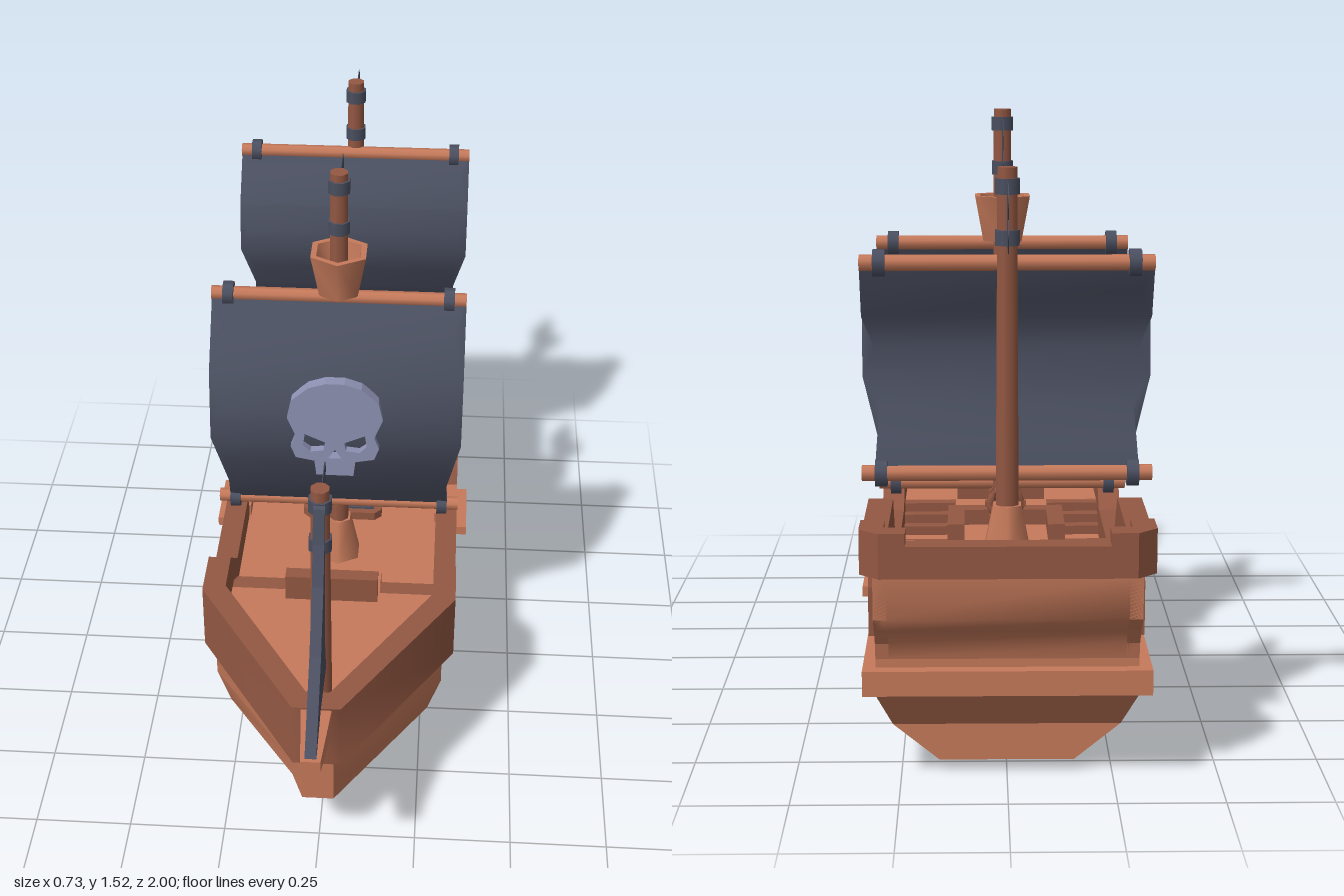
import * as THREE from 'three';
import { toCreasedNormals } from 'three/addons/utils/BufferGeometryUtils.js';

const material = (name, color) => {
  const m = new THREE.MeshStandardMaterial({ color });
  m.name = name;
  return m;
};

export function createModel() {
  const ship = new THREE.Group();
  ship.name = 'sailingShip';
  const light = material('light wood', 0xc67a5b);
  const dark = material('dark wood', 0x945843);
  const slate = material('slate cloth', 0x4b5061);
  const pale = material('pale lilac', 0x8f92b4);

  const add = (name, geo, mat) => {
    const m = new THREE.Mesh(geo, mat);
    m.name = name;
    ship.add(m);
  };
  const box = (name, mat, x0, x1, y0, y1, z0, z1) =>
    add(name, new THREE.BoxGeometry(x1 - x0, y1 - y0, z1 - z0)
      .translate((x0 + x1) / 2, (y0 + y1) / 2, (z0 + z1) / 2), mat);
  const vecs = pts => pts.map(p => new THREE.Vector2(...p));
  const extrude = (pts, depth, holes = []) => {
    const s = new THREE.Shape(vecs(pts));
    holes.forEach(h => s.holes.push(new THREE.Path(vecs(h))));
    return new THREE.ExtrudeGeometry(s, { depth, bevelEnabled: false });
  };
  // (z, y) outline swept across x
  const side = (pts, x0, x1, holes) =>
    extrude(pts, x1 - x0, holes).rotateY(-Math.PI / 2).translate(x1, 0, 0);
  // (x, z) outline swept up y
  const plan = (pts, y0, y1) =>
    extrude(pts, y1 - y0).rotateX(Math.PI / 2).translate(0, y1, 0);
  const mirrored = pts => [...pts, ...pts.map(([x, y]) => [-x, y]).reverse()];
  const bothSides = (name, pts, x0, x1, mat, holes) => {
    add('left' + name, side(pts, x0, x1, holes), mat);
    add('right' + name, side(pts, -x1, -x0, holes), mat);
  };
  const bothBoxes = (name, mat, x0, x1, ...rest) => {
    box('left' + name, mat, x0, x1, ...rest);
    box('right' + name, mat, -x1, -x0, ...rest);
  };
  const arch = (c, w, y0, y1) => {
    const pts = [[c - w, y0], [c + w, y0]];
    for (let i = 0; i <= 6; i++) {
      const a = i * Math.PI / 6;
      pts.push([c + w * Math.cos(a), y1 - w + w * Math.sin(a)]);
    }
    return pts;
  };

  // Lower hull: half-sections [x, y, z] from stern to bow
  const section = [[0.305, 0.32], [0.305, 0.22], [0.27, 0.12], [0.16, 0.03]];
  const loops = [
    section.map(([x, y], i) => [x, y, [-0.89, -0.89, -0.81, -0.81][i]]),
    section.map(([x, y]) => [x, y, 0.38]),
    [0.32, 0.26, 0.21, 0.17].map(y => [0.04, y, 0.79])
  ].map(h => [...h, ...h.map(([x, y, z]) => [-x, y, z]).reverse()]);
  const tris = [];
  const quad = (a, b, c, d) => tris.push(...a, ...c, ...b, ...a, ...d, ...c);
  for (let s = 0; s < 2; s++) {
    for (let i = 0; i < 8; i++) {
      const j = (i + 1) % 8;
      quad(loops[s][i], loops[s][j], loops[s + 1][j], loops[s + 1][i]);
    }
  }
  for (let i = 0; i < 3; i++) {
    const [a, b] = [loops[0], loops[2]];
    quad(a[i], a[7 - i], a[6 - i], a[i + 1]);
    quad(b[i], b[i + 1], b[6 - i], b[7 - i]);
  }
  const hull = new THREE.BufferGeometry();
  hull.setAttribute('position', new THREE.Float32BufferAttribute(tris, 3));
  add('hull', toCreasedNormals(hull, 0.65), light);

  // Midship band and boarding sills
  const band = mirrored([[0.335, 0.3], [0.335, 0.23], [0.28, 0.09], [0.18, 0]]);
  add('hullBand', extrude(band, 0.13).translate(0, 0, -0.335), dark);
  bothBoxes('BoardingSill', light, 0.27, 0.365, 0.295, 0.322, -0.37, -0.18);
  bothBoxes('BoardingStep', light, 0.27, 0.335, 0.32, 0.355, -0.345, -0.2);
  box('sternLedge', light, -0.335, 0.335, 0.23, 0.29, -0.92, -0.58);

  // Bulwarks
  bothSides('ForeBulwark', [[0.38, 0.32], [0.38, 0.505], [0.24, 0.505], [0.105, 0.397],
    [-0.18, 0.397], [-0.2, 0.355], [-0.2, 0.32]], 0.275, 0.335, dark);
  bothSides('AftBulwark', [[-0.345, 0.32], [-0.345, 0.355], [-0.36, 0.397], [-0.394, 0.397],
    [-0.555, 0.605], [-0.9, 0.605], [-0.9, 0.535], [-0.59, 0.535], [-0.437, 0.32]], 0.275, 0.335, dark);
  add('bowBulwark', toCreasedNormals(plan([[0.335, 0.38], [0.06, 0.82], [-0.06, 0.82], [-0.335, 0.38],
    [-0.275, 0.36], [-0.03, 0.76], [0.03, 0.76], [0.275, 0.36]], 0.32, 0.505), 1.1), dark);
  for (const s of [1, -1]) {
    add('sternCornerRail', plan([[0.335, -0.88], [0.335, -0.96], [0.29, -1], [0.23, -1],
      [0.23, -0.945], [0.28, -0.945], [0.28, -0.88]].map(([x, z]) => [x * s, z]), 0.535, 0.64), dark);
  }
  box('sternRail', dark, -0.23, 0.23, 0.535, 0.61, -1, -0.945);

  // Cabin, quarterdeck and foredeck
  const sternLine = [[-0.975, 0.537], [-0.97, 0.43], [-0.93, 0.39], [-0.9, 0.35], [-0.89, 0.31]];
  bothSides('CabinWall', [[-0.437, 0.31], [-0.59, 0.537], ...sternLine], 0.274, 0.305, light);
  add('cabin', toCreasedNormals(side([[-0.69, 0.31], [-0.69, 0.537], ...sternLine], -0.305, 0.305), 0.8), light);
  box('cabinFront', light, -0.13, 0.13, 0.31, 0.537, -0.7, -0.515);
  add('foredeck', plan([[0.28, 0.23], [0.28, 0.37], [0.03, 0.78], [-0.03, 0.78], [-0.28, 0.37],
    [-0.28, 0.23], [-0.13, 0.23], [-0.13, 0.12], [0.13, 0.12], [0.13, 0.23]], 0.31, 0.395), light);
  box('foredeckRail', dark, -0.125, 0.125, 0.39, 0.47, 0.23, 0.27);

  // Stairs on both sides of each raised deck
  for (let i = 0; i < 5; i++) {
    bothBoxes('AftStair', dark, 0.13, 0.276, 0.31, 0.36 + i * 0.042, -0.692, -0.48 - i * 0.042);
  }
  for (let i = 0; i < 3; i++) {
    bothBoxes('ForeStair', dark, 0.13, 0.276, 0.31, 0.345 + i * 0.024, 0.12 + i * 0.037, 0.232);
  }

  // Balcony rail and steering wheel
  box('balconyFrontRail', dark, -0.14, 0.14, 0.5, 0.575, -0.555, -0.51);
  bothBoxes('BalconyRail', dark, 0.1, 0.14, 0.5, 0.575, -0.69, -0.55);
  box('wheelPost', dark, -0.025, 0.025, 0.53, 0.61, -0.582, -0.555);
  add('wheelRim', new THREE.TorusGeometry(0.038, 0.011, 6, 8).translate(0, 0.6, -0.585), dark);
  for (let i = 0; i < 4; i++) {
    add('wheelSpoke', new THREE.BoxGeometry(0.1, 0.013, 0.016).rotateZ(i * Math.PI / 4)
      .translate(0, 0.6, -0.585), dark);
  }

  // Hatch, door and side windows
  const hatch = [[0.115, -0.415], [0.115, -0.22], [0.095, -0.2]];
  add('hatchFrame', plan([...mirrored(hatch), [-0.095, -0.435], [0.095, -0.435]], 0.31, 0.345), dark);
  box('hatchCover', slate, -0.092, 0.092, 0.34, 0.35, -0.412, -0.22);
  add('doorFrame', extrude(arch(0, 0.065, 0.32, 0.49), 0.02, [arch(0, 0.04, 0.33, 0.465)])
    .translate(0, 0, -0.515), dark);
  add('doorPane', extrude(arch(0, 0.045, 0.325, 0.47), 0.008).translate(0, 0, -0.514), slate);
  bothSides('WindowFrame', arch(-0.71, 0.06, 0.325, 0.505), 0.3, 0.327, dark, [arch(-0.71, 0.033, 0.355, 0.475)]);
  bothSides('WindowPane', arch(-0.71, 0.036, 0.35, 0.48), 0.304, 0.312, pale);

  // Bowsprit: a box tapered towards its tip
  const sprit = new THREE.BoxGeometry(0.08, 0.075, 0.2).translate(0, 0.4625, 0.9);
  const sp = sprit.attributes.position;
  for (let i = 0; i < sp.count; i++) {
    if (sp.getZ(i) > 0.9) {
      sp.setX(i, sp.getX(i) * 0.6);
      if (sp.getY(i) < 0.45) sp.setY(i, 0.468);
    }
  }
  sprit.computeVertexNormals();
  add('bowsprit', sprit, light);

  // Masts with rings and flags
  const rod = (r0, r1, length) =>
    new THREE.CylinderGeometry(r1, r0, length, 8, 1, false, Math.PI / 8);
  const post = (name, mat, r0, r1, y0, y1, z) =>
    add(name, rod(r0, r1, y1 - y0).translate(0, (y0 + y1) / 2, z), mat);
  const mast = (name, z, deck, top, flagTop) => {
    post(name, dark, 0.029, 0.024, deck, top, z);
    for (const y of [flagTop - 0.03, flagTop - 0.145]) {
      post(name + 'Ring', slate, 0.03, 0.03, y, y + 0.035, z);
    }
    add(name + 'Flag', side([[0, 0], [-0.135, 0], [-0.16, -0.034], [-0.135, -0.072], [-0.16, -0.105],
      [-0.135, -0.145], [0, -0.145]].map(([a, b]) => [z - 0.022 + a, flagTop + b]), -0.001, 0.001), slate);
  };
  mast('mainMast', -0.05, 0.32, 1.525, 1.5);
  mast('mizzenMast', -0.818, 0.535, 1.435, 1.405);
  mast('foreMast', 0.647, 0.39, 1.045, 1.012);
  for (const [z, y] of [[-0.05, 0.32], [-0.818, 0.535]]) {
    add('mastFoot', new THREE.CylinderGeometry(0.037, 0.065, 0.125, 6).translate(0, y + 0.0625, z), light);
  }

  // Crow's nest with an open top
  const nest = new THREE.LatheGeometry(vecs([[0, 1.18], [0.058, 1.18], [0.083, 1.3], [0.066, 1.3],
    [0.05, 1.21], [0, 1.21]]), 6).translate(0, 0, -0.05);
  add('crowsNest', toCreasedNormals(nest, 1.08), light);

  // Square sails: curved profile with scalloped side edges, hung between two yards
  const squareSail = (name, z, top, bottom, bulge) => {
    const rows = [[0, 0, 0.335], [0.13, 0.42, 0.305], [0.27, 0.78, 0.335], [0.42, 0.98, 0.308],
      [0.56, 0.95, 0.335], [0.69, 0.78, 0.295], [0.85, 0.42, 0.3], [1, 0, 0.305]]
      .map(([t, f, w]) => [top + (bottom - top) * t, z + bulge * f, w]);
    const front = rows.map(([y, d]) => [d + 0.008, y]);
    const back = rows.map(([y, d], i) => [d - (i % 7 ? 0.034 : 0.008), y]).reverse();
    const g = side([...front, ...back], -0.5, 0.5);
    const p = g.attributes.position;
    for (let i = 0; i < p.count; i++) {
      const row = rows.find(r => Math.abs(r[0] - p.getY(i)) < 1e-4);
      p.setX(i, Math.sign(p.getX(i)) * row[2]);
    }
    add(name, toCreasedNormals(g, 0.7), slate);
    for (const y of [top, bottom]) {
      add(name + 'Yard', rod(0.019, 0.019, 0.67).rotateZ(Math.PI / 2).translate(0, y, z), light);
      for (const x of [-0.29, 0.29]) {
        add(name + 'YardRing', rod(0.032, 0.032, 0.028).rotateZ(Math.PI / 2).translate(x, y, z), slate);
      }
    }
  };
  squareSail('mainSail', -0.035, 1.172, 0.515, 0.14);
  squareSail('mizzenSail', -0.8, 1.218, 0.73, 0.11);

  // Skull plate on the main sail
  const skull = mirrored([[0.05, 0.71], [0.055, 0.755], [0.105, 0.765], [0.118, 0.8], [0.105, 0.835],
    [0.127, 0.89], [0.115, 0.945], [0.07, 0.985], [0.025, 1]]);
  const eye = [[0.03, 0.79], [0.065, 0.785], [0.085, 0.805], [0.08, 0.84], [0.025, 0.815]];
  const nose = [[-0.018, 0.765], [0.018, 0.765], [0, 0.792]];
  add('skullEmblem', extrude(skull, 0.035, [eye, eye.map(([x, y]) => [-x, y]), nose])
    .translate(0, 0, 0.09), pale);

  // Triangular jib
  add('jib', side([[0.668, 1.015], [0.685, 1.01], [0.705, 0.92], [0.74, 0.82], [0.83, 0.68], [1, 0.51],
    [0.985, 0.505], [0.85, 0.53], [0.668, 0.505], [0.7, 0.62], [0.7, 0.75]], -0.014, 0.014), slate);

  return ship;
}
